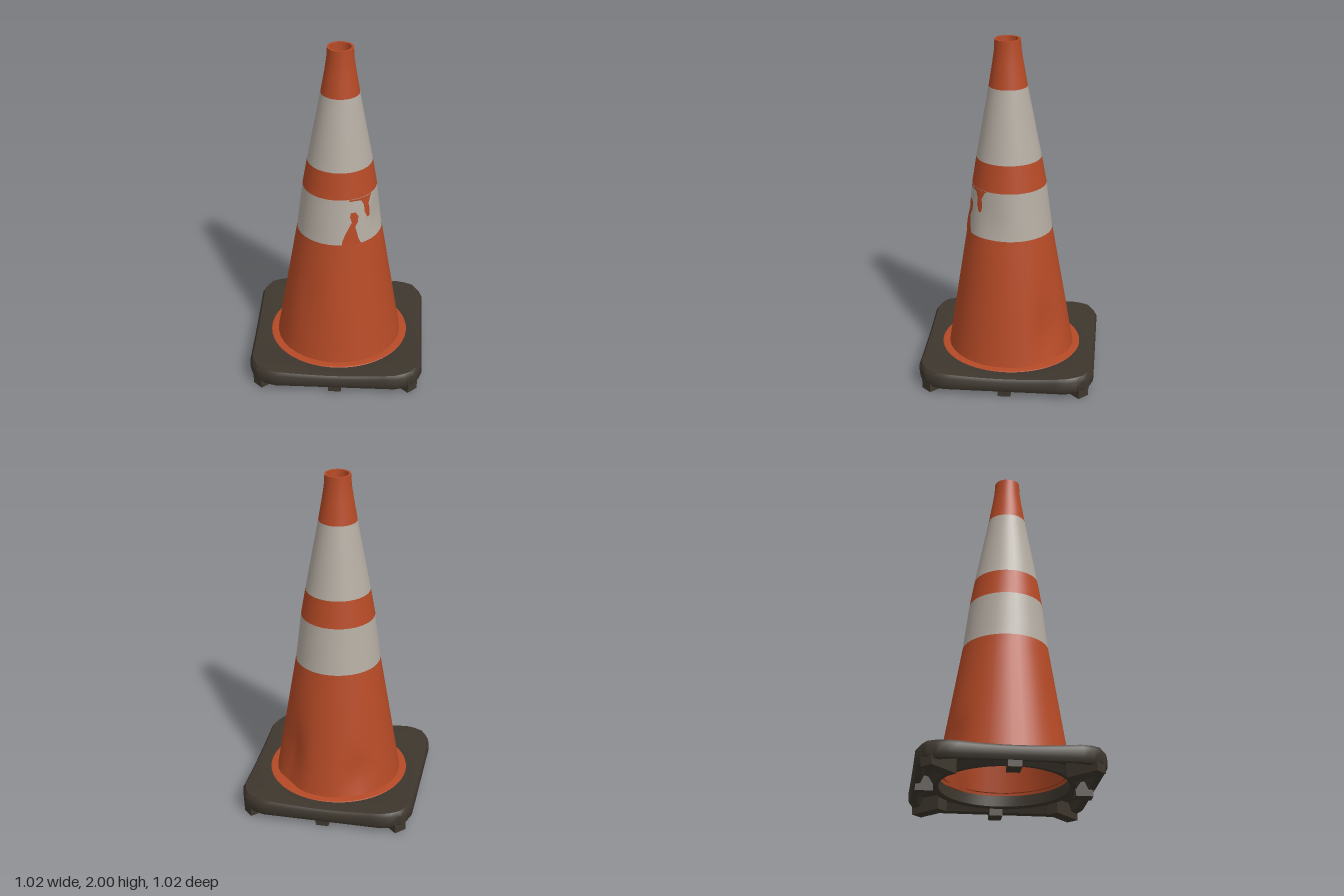
import * as THREE from 'three';
import { mergeVertices, toCreasedNormals } from 'three/addons/utils/BufferGeometryUtils.js';

const paint = (name, color, side = THREE.FrontSide) => {
  const m = new THREE.MeshStandardMaterial({ color, side });
  m.name = name;
  return m;
};

// Skin a list of equally long point rows; rows run upwards on the outside.
function loft(rows, crease = 0) {
  const n = rows[0].length, pos = [], idx = [];
  rows.forEach(row => row.forEach(p => pos.push(...p)));
  for (let j = 0; j < rows.length - 1; j++)
    for (let i = 0; i < n - 1; i++) {
      const a = j * n + i, b = a + 1, c = a + n, d = c + 1;
      idx.push(a, b, d, a, d, c);
    }
  let g = new THREE.BufferGeometry();
  g.setAttribute('position', new THREE.Float32BufferAttribute(pos, 3));
  g.setIndex(idx);
  g = mergeVertices(g, 1e-5);
  if (crease) return toCreasedNormals(g, crease);
  g.computeVertexNormals();
  return g;
}

const ring = (n, f) => Array.from({ length: n + 1 }, (_, i) => f((i % n) / n * Math.PI * 2));

// Cone profile: height, radius
const PROFILE = [[0.11, 0.376], [0.87, 0.25], [1.15, 0.216], [1.31, 0.189],
  [1.73, 0.111], [1.92, 0.079], [2, 0.074]];
function radiusAt(y) {
  for (let i = 1; i < PROFILE.length; i++) {
    const [y0, r0] = PROFILE[i - 1], [y1, r1] = PROFILE[i];
    if (y <= y1) return r0 + (r1 - r0) * (y - y0) / (y1 - y0);
  }
  return PROFILE[PROFILE.length - 1][1];
}

// Dents: angle, height, depth, angular spread, vertical spread
const DENTS = [[2.36, 0.28, 0.04, 0.24, 0.2], [3.67, 0.24, 0.025, 0.2, 0.1],
  [1.2, 0.98, 0.014, 0.3, 0.1], [-0.6, 0.5, 0.008, 0.18, 0.2]];

// Point on the slightly leaning, dented cone
function conePoint(y, a, off = 0) {
  let r = radiusAt(y) + off;
  for (const [da, dy, depth, sa, sy] of DENTS) {
    const d = Math.atan2(Math.sin(a - da), Math.cos(a - da));
    r -= depth * Math.exp(-((d / sa) ** 2) - ((y - dy) / sy) ** 2);
  }
  const t = (y - 0.11) / 1.89;
  return [0.009 * t + r * Math.sin(a), y, 0.02 * t + r * Math.cos(a)];
}

function coneBand(y0, y1, off = 0) {
  const steps = Math.max(1, Math.ceil((y1 - y0) / 0.08));
  return loft(Array.from({ length: steps + 1 }, (_, j) =>
    ring(36, a => conePoint(y0 + (y1 - y0) * j / steps, a, off))));
}

// Square outline with blunted corners
function outline(a) {
  const s = Math.abs(Math.sin(a)), c = Math.abs(Math.cos(a));
  return Math.min(0.512 / Math.max(s, c), 0.93 / (s + c),
    0.66 / (Math.max(s, c) + 0.4 * Math.min(s, c)));
}
const polar = (r, y, a) => [r * Math.sin(a), y, r * Math.cos(a)];
const circle = (r, y) => ring(72, a => polar(r, y, a));
// lift raises the corners a little above the middles of the sides
const square = (s, y, lift = 0) => ring(72, a => {
  const r = outline(a);
  return polar(r * s, y + lift * Math.max(0, r - 0.512) / 0.14, a);
});

export function createModel() {
  const model = new THREE.Group();
  model.name = 'trafficCone';
  const orange = paint('orange', 0xb54a26, THREE.DoubleSide);
  const white = paint('reflectiveGrey', 0xb4aca2, THREE.DoubleSide);
  const rubber = paint('darkRubber', 0x3e372e);
  const add = (name, geometry, material, parent = model) => {
    const mesh = new THREE.Mesh(geometry, material);
    mesh.name = name;
    parent.add(mesh);
    return mesh;
  };

  // Rubber base, hollowed underneath between the rim and the collar
  add('base', loft([
    circle(0.365, 0.108), circle(0.365, 0.045), circle(0.4, 0.04), circle(0.425, 0.08),
    square(0.87, 0.085), square(0.91, 0.04), square(0.98, 0.035), square(1, 0.055),
    square(1, 0.1, 0.015), square(0.975, 0.116, 0.02), square(0.93, 0.118, 0.018),
    circle(0.42, 0.113), circle(0.365, 0.108),
  ], 0.7), rubber);

  // Feet under the corners and the middles of the sides
  const feet = new THREE.Group();
  feet.name = 'feet';
  model.add(feet);
  for (let i = 0; i < 8; i++) {
    const corner = i % 2 === 1, a = i * Math.PI / 4;
    const length = corner ? 0.2 : 0.1, r = corner ? 0.55 : 0.445;
    const foot = add('foot', new THREE.BoxGeometry(0.075, 0.085, length), rubber, feet);
    foot.position.set(r * Math.sin(a), 0.0425, r * Math.cos(a));
    foot.rotation.y = a;
  }

  // Flange where the cone meets the base
  add('flange', loft([circle(0.416, 0.115), circle(0.41, 0.119), circle(0.345, 0.122)]), orange);

  // Cone body in coloured bands
  add('lowerBody', coneBand(0.11, 0.87), orange);
  add('lowerStripe', coneBand(0.87, 1.15), white);
  add('middleBody', coneBand(1.15, 1.31), orange);
  add('upperStripe', coneBand(1.31, 1.73), white);
  add('neck', coneBand(1.73, 2), orange);
  add('innerWall', coneBand(0.11, 1.92, -0.014), orange);

  // Rim and shallow socket at the tip
  const tip = (y, off) => ring(36, a => conePoint(y, a, off));
  add('tipSocket', loft([tip(2, 0), tip(2, -0.013), tip(1.93, -0.02),
    tip(1.925, -0.076)], 0.6), orange);

  // Worn patches on the lower stripe; each row is height, left x, right x
  const patches = [
    [[0.87, 0.025, 0.135], [0.9, 0.03, 0.12], [0.94, 0.045, 0.11], [0.98, 0.065, 0.1],
      [1.01, 0.08, 0.115], [1.045, 0.07, 0.115], [1.07, 0.075, 0.1]],
    [[1.02, 0.165, 0.178], [1.06, 0.15, 0.178], [1.1, 0.145, 0.17], [1.135, 0.13, 0.178],
      [1.14, 0.065, 0.18], [1.15, 0.06, 0.185]],
  ];
  for (const rows of patches)
    add('wornPatch', loft(rows.map(([y, x0, x1]) => Array.from({ length: 6 }, (_, i) =>
      conePoint(y, Math.asin((x0 + (x1 - x0) * i / 5) / radiusAt(y)), 0.004)))), orange);

  return model;
}
